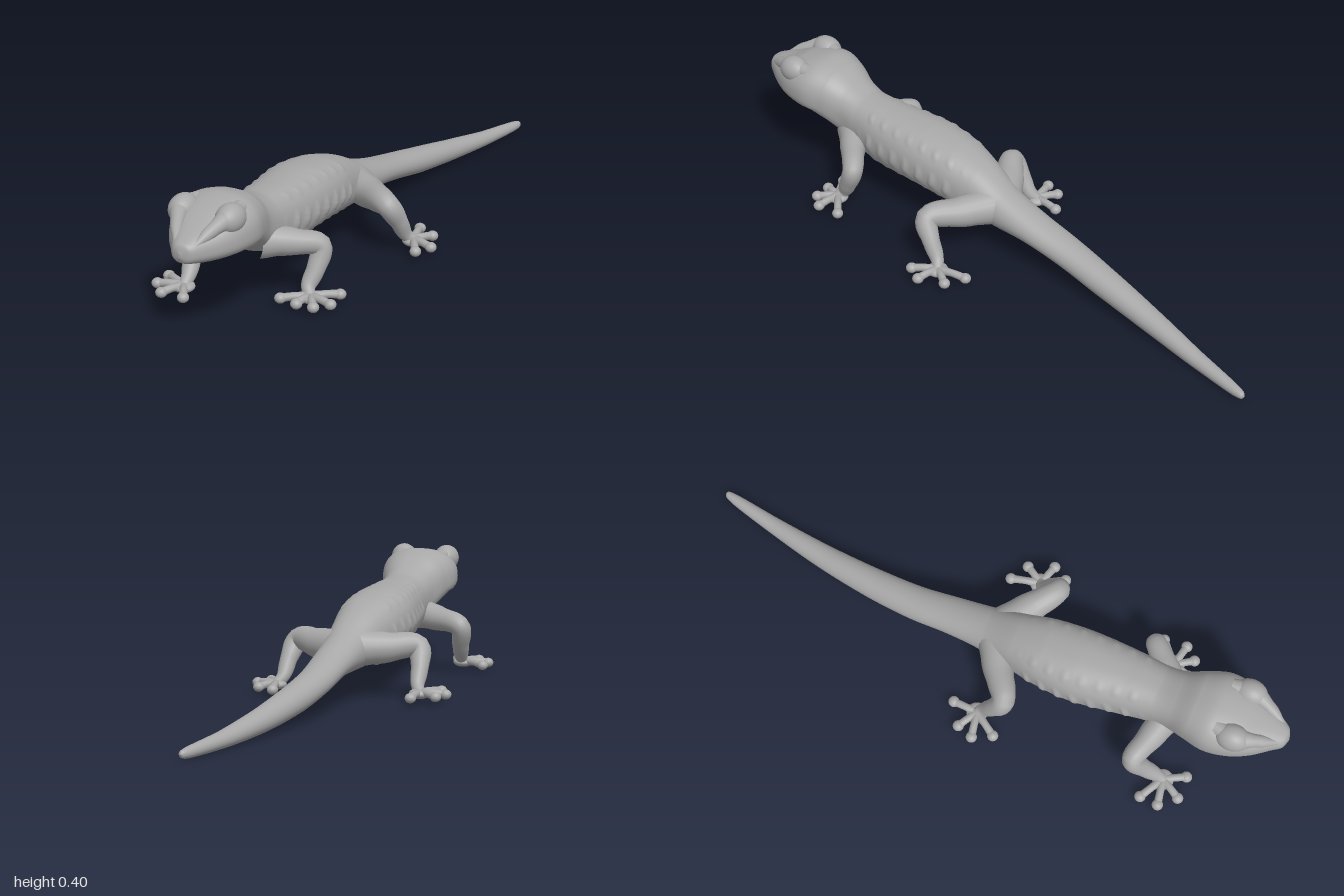
import * as THREE from 'three';

const skin = new THREE.MeshStandardMaterial({ color: 0xa8a8a8 });
skin.name = 'grey skin';

// Spine sections from snout to tail tip: z, centre x, half width, top y, bottom y, widest y
const SECTIONS = [
  [1.0, -0.015, 0.004, 0.302, 0.288, 0.295],
  [0.99, -0.015, 0.03, 0.325, 0.27, 0.296],
  [0.96, -0.015, 0.053, 0.34, 0.26, 0.296],
  [0.91, -0.018, 0.088, 0.358, 0.25, 0.297],
  [0.85, -0.02, 0.116, 0.385, 0.24, 0.3],
  [0.77, -0.022, 0.128, 0.4, 0.228, 0.3],
  [0.7, -0.022, 0.11, 0.386, 0.203, 0.288],
  [0.64, -0.02, 0.09, 0.353, 0.168, 0.26],
  [0.58, -0.017, 0.088, 0.331, 0.145, 0.235],
  [0.48, -0.016, 0.1, 0.325, 0.13, 0.22],
  [0.32, -0.022, 0.114, 0.32, 0.13, 0.21],
  [0.2, -0.02, 0.106, 0.304, 0.118, 0.2],
  [0.1, -0.015, 0.087, 0.273, 0.1, 0.18],
  [0, -0.006, 0.071, 0.223, 0.092, 0.157],
  [-0.12, -0.002, 0.062, 0.183, 0.088, 0.135],
  [-0.25, 0, 0.056, 0.15, 0.063, 0.106],
  [-0.4, 0.015, 0.05, 0.12, 0.033, 0.076],
  [-0.6, 0.045, 0.04, 0.083, 0.011, 0.047],
  [-0.8, 0.085, 0.028, 0.052, 0.002, 0.027],
  [-0.97, 0.122, 0.016, 0.036, 0.004, 0.02],
  [-0.993, 0.127, 0.01, 0.031, 0.009, 0.02],
  [-1.0, 0.128, 0.001, 0.021, 0.019, 0.02],
];

function add(parent, name, geometry) {
  const mesh = new THREE.Mesh(geometry, skin);
  mesh.name = name;
  parent.add(mesh);
  return mesh;
}

function ball(parent, name, [x, y, z], [sx, sy, sz]) {
  const mesh = add(parent, name, new THREE.SphereGeometry(1, 24, 16));
  mesh.position.set(x, y, z);
  mesh.scale.set(sx, sy, sz);
  return mesh;
}

// Head, trunk and tail as one smooth loft
function bodyGeometry() {
  const rows = 420, cols = 56;
  const plan = new THREE.CatmullRomCurve3(SECTIONS.map(s => new THREE.Vector3(s[0], s[1], s[2])));
  const side = new THREE.CatmullRomCurve3(SECTIONS.map(s => new THREE.Vector3(s[3], s[4], s[5])));
  const pos = [], index = [];
  for (let i = 0; i <= rows; i++) {
    const { x: z, y: xc, z: hw } = plan.getPoint(i / rows);
    const { x: top, y: bottom, z: wide } = side.getPoint(i / rows);
    const e = THREE.MathUtils.lerp(1, 0.82, THREE.MathUtils.smoothstep(z, -0.1, 0.2));
    const flank = THREE.MathUtils.smoothstep(z, 0.1, 0.2) * (1 - THREE.MathUtils.smoothstep(z, 0.5, 0.58));
    const head = THREE.MathUtils.smoothstep(z, 0.7, 0.76);
    for (let j = 0; j < cols; j++) {
      const a = (j / cols) * Math.PI * 2, c = Math.cos(a), s = Math.sin(a);
      let dx = hw * Math.sign(c) * Math.abs(c) ** e;
      const y = wide + (s > 0 ? top - wide : wide - bottom) * Math.sign(s) * Math.abs(s) ** e;
      // lumpy scales along the flanks
      const lump = Math.max(0, Math.sin(z * 115 + Math.sin(a * 5))) * Math.max(0, Math.cos(a * 7 + (c < 0 ? Math.PI : 0)));
      dx += Math.sign(c) * 0.008 * flank * lump * Math.abs(c);
      // the lower jaw sits inside the upper lip
      const mouth = 0.262 - 0.012 * Math.max(0, z - 0.85) / 0.15;
      dx *= 1 - 0.05 * head * (1 - THREE.MathUtils.smoothstep(y, mouth - 0.004, mouth + 0.004));
      pos.push(xc + dx, y, z);
    }
  }
  for (let i = 0; i < rows; i++) {
    for (let j = 0; j < cols; j++) {
      const k = (j + 1) % cols, a = i * cols, b = a + cols;
      index.push(a + j, b + j, a + k, a + k, b + j, b + k);
    }
  }
  // end caps
  for (let j = 1; j < cols - 1; j++) {
    const last = rows * cols;
    index.push(0, j, j + 1, last, last + j + 1, last + j);
  }
  const g = new THREE.BufferGeometry();
  g.setAttribute('position', new THREE.Float32BufferAttribute(pos, 3));
  g.setIndex(index);
  g.computeVertexNormals();
  return g;
}

// Tube whose radius follows a list spaced evenly along its length
function taperedTube(points, radii, segments = 32, sides = 20) {
  const curve = new THREE.CatmullRomCurve3(points.map(p => new THREE.Vector3(...p)));
  const g = new THREE.TubeGeometry(curve, segments, 1, sides);
  const p = g.attributes.position, v = new THREE.Vector3();
  for (let i = 0; i <= segments; i++) {
    const t = i / segments, centre = curve.getPointAt(t);
    const f = t * (radii.length - 1), k = Math.min(Math.floor(f), radii.length - 2);
    const r = THREE.MathUtils.lerp(radii[k], radii[k + 1], THREE.MathUtils.smoothstep(f - k, 0, 1));
    for (let j = 0; j <= sides; j++) {
      const n = i * (sides + 1) + j;
      v.fromBufferAttribute(p, n).sub(centre).multiplyScalar(r).add(centre);
      p.setXYZ(n, v.x, v.y, v.z);
    }
  }
  return g;
}

// Leg through its joints, with a flat palm and round-tipped toes
function leg(parent, name, { joints, radii, palm, toes }) {
  const group = new THREE.Group();
  group.name = name;
  parent.add(group);
  add(group, 'limb', taperedTube([...joints, [palm[0], 0.03, palm[1]]], radii));
  ball(group, 'palm', [palm[0], 0.028, palm[1]], [0.034, 0.017, 0.034]);
  for (const [x, z] of toes) {
    const mid = [(x + palm[0]) / 2, 0.032, (z + palm[1]) / 2];
    add(group, 'toe', taperedTube([[palm[0], 0.028, palm[1]], mid, [x, 0.027, z]], [0.017, 0.012, 0.013], 10, 12));
    ball(group, 'toePad', [x, 0.027, z], [0.018, 0.016, 0.018]);
  }
}

const LEGS = {
  frontRightLeg: {
    joints: [[-0.05, 0.2, 0.63], [-0.14, 0.185, 0.605], [-0.222, 0.165, 0.58], [-0.215, 0.1, 0.615], [-0.205, 0.05, 0.66]],
    radii: [0.055, 0.044, 0.036, 0.032, 0.027, 0.018],
    palm: [-0.205, 0.685],
    toes: [[-0.285, 0.64], [-0.288, 0.7], [-0.243, 0.75], [-0.168, 0.75]],
  },
  frontLeftLeg: {
    joints: [[0.02, 0.2, 0.62], [0.1, 0.185, 0.555], [0.158, 0.165, 0.505], [0.155, 0.1, 0.53], [0.145, 0.05, 0.56]],
    radii: [0.055, 0.044, 0.036, 0.032, 0.027, 0.018],
    palm: [0.16, 0.575],
    toes: [[0.228, 0.515], [0.235, 0.59], [0.2, 0.63], [0.145, 0.632], [0.085, 0.62]],
  },
  hindRightLeg: {
    joints: [[-0.03, 0.165, 0.04], [-0.12, 0.165, 0.085], [-0.208, 0.165, 0.14], [-0.222, 0.11, 0.115], [-0.225, 0.05, 0.08]],
    radii: [0.06, 0.052, 0.043, 0.035, 0.027, 0.018],
    palm: [-0.237, 0.062],
    toes: [[-0.232, -0.02], [-0.3, 0.025], [-0.318, 0.078], [-0.287, 0.138]],
  },
  hindLeftLeg: {
    joints: [[0.02, 0.165, 0.04], [0.11, 0.165, 0.095], [0.2, 0.165, 0.155], [0.22, 0.11, 0.125], [0.23, 0.05, 0.09]],
    radii: [0.06, 0.052, 0.043, 0.035, 0.027, 0.018],
    palm: [0.247, 0.075],
    toes: [[0.225, -0.02], [0.285, 0.015], [0.318, 0.095], [0.29, 0.145]],
  },
};

export function createModel() {
  const model = new THREE.Group();
  model.name = 'lizard';
  add(model, 'body', bodyGeometry());

  // bulging eyes with brow ridges running into the snout
  for (const [side, x, inner] of [['right', -0.098, -0.045], ['left', 0.055, 0.015]]) {
    ball(model, side + 'Eye', [x, 0.362, 0.84], [0.042, 0.044, 0.054]);
    add(model, side + 'Brow', taperedTube(
      [[x * 0.9, 0.368, 0.78], [x, 0.368, 0.85], [(x + inner) / 2, 0.345, 0.92], [inner, 0.318, 0.97]],
      [0.025, 0.032, 0.02, 0.008]));
  }

  for (const [name, spec] of Object.entries(LEGS)) leg(model, name, spec);
  return model;
}
